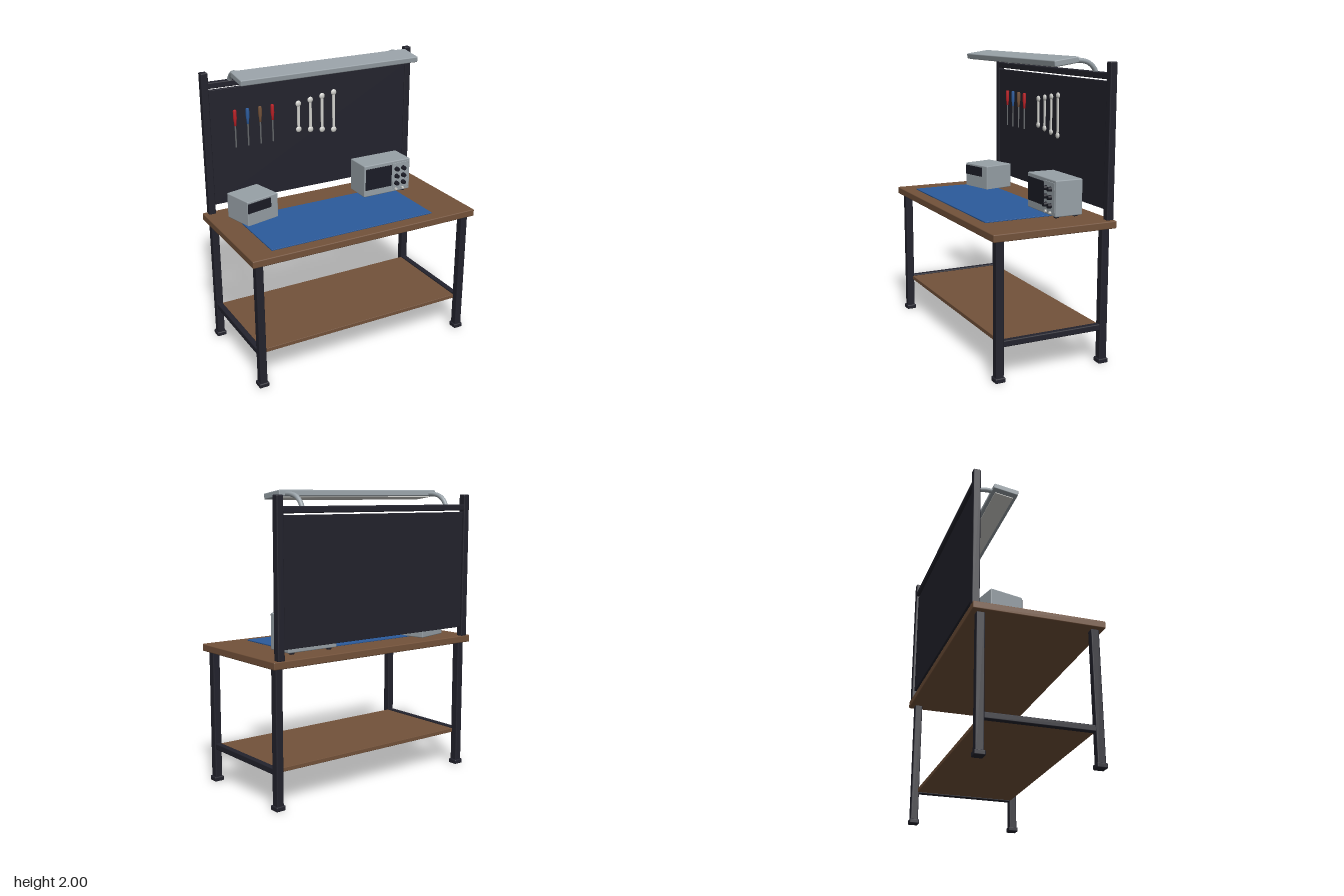
import * as THREE from 'three';
import { RoundedBoxGeometry } from 'three/addons/geometries/RoundedBoxGeometry.js';

const mat = (name, color) => {
  const m = new THREE.MeshStandardMaterial({ color });
  m.name = name;
  return m;
};

export function createModel() {
  const root = new THREE.Group();
  root.name = 'workbench';

  const frame = mat('dark frame', 0x23232d);
  const wood = mat('brown wood', 0x73523a);
  const blue = mat('blue', 0x2b5b9c);
  const grey = mat('grey casing', 0x98a1a7);
  const steel = mat('pale steel', 0xd2d2ce);
  const red = mat('red', 0xb81f25);
  const metal = mat('dark steel', 0x66696c);
  const screen = mat('dark screen', 0x1b1c26);

  const add = (name, geo, m, x, y, z, parent = root) => {
    const mesh = new THREE.Mesh(geo, m);
    mesh.name = name;
    mesh.position.set(x, y, z);
    parent.add(mesh);
    return mesh;
  };
  // Softly bevelled box, placed by its centre
  const box = (name, m, w, h, d, x, y, z, parent = root, r = 0.007) =>
    add(name, new RoundedBoxGeometry(w, h, d, 2, Math.min(r, w / 3, h / 3, d / 3)), m, x, y, z, parent);
  const group = (name, x = 0, y = 0, z = 0) => {
    const g = new THREE.Group();
    g.name = name;
    g.position.set(x, y, z);
    root.add(g);
    return g;
  };

  // Table
  box('tabletop', wood, 1.71, 0.05, 0.874, 0, 0.94, 0);
  box('lowerShelf', wood, 1.55, 0.028, 0.72, 0, 0.249, 0, root, 0.003);
  box('workMat', blue, 1.235, 0.009, 0.57, -0.068, 0.969, 0.065, root, 0.002);

  // Legs, feet, side rails and rear posts
  for (const s of [-1, 1]) {
    for (const z of [-0.377, 0.377]) {
      box('leg', frame, 0.052, 0.905, 0.055, s * 0.797, 0.463, z);
      box('foot', frame, 0.07, 0.032, 0.07, s * 0.797, 0.016, z);
    }
    box('sideRail', frame, 0.04, 0.043, 0.72, s * 0.797, 0.249, 0);
    box('rearPost', frame, 0.05, 1.01, 0.05, s * 0.797, 1.466, -0.409);
  }

  // Tool board and its top rail
  box('toolBoard', frame, 1.56, 0.82, 0.025, 0, 1.439, -0.404, root, 0.003);
  box('topRail', frame, 1.56, 0.042, 0.045, 0, 1.881, -0.409);

  // Screwdrivers hanging on the board
  const handleProfile = [[0, -0.056], [0.008, -0.056], [0.009, -0.03], [0.013, -0.005], [0.013, 0.048], [0.009, 0.056], [0, 0.056]]
    .map(([r, y]) => new THREE.Vector2(r, y));
  const handleGeo = new THREE.LatheGeometry(handleProfile, 14);
  const shaftGeo = new THREE.CylinderGeometry(0.0055, 0.0055, 0.16, 10);
  [red, blue, wood, red].forEach((m, i) => {
    const g = group('screwdriver', -0.6 + i * 0.0935, 0, -0.376);
    add('handle', handleGeo, m, 0, 1.639, 0, g);
    add('shaft', shaftGeo, metal, 0, 1.508, 0, g);
  });

  // Wrenches, each a little longer than the last
  const headGeo = new THREE.SphereGeometry(0.022, 14, 10);
  for (let i = 0; i < 4; i++) {
    const g = group('wrench', -0.115 + i * 0.0945, 1.575, -0.383);
    const half = 0.094 + i * 0.015;
    box('wrenchBar', steel, 0.02, half * 2, 0.012, 0, 0, 0, g, 0.004);
    for (const s of [-1, 1]) add('wrenchHead', headGeo, steel, 0, s * half, 0, g).scale.z = 0.5;
  }

  // Lamp: tilted head on two curved arms
  const lamp = group('lampHead', 0, 1.966, -0.158);
  lamp.rotation.x = 0.14;
  box('lampCasing', grey, 1.345, 0.04, 0.176, 0, 0.004, 0, lamp);
  box('lampDiffuser', steel, 1.26, 0.008, 0.13, 0, -0.018, 0, lamp, 0.002);
  const armPath = new THREE.CatmullRomCurve3(
    [[1.885, -0.41], [1.925, -0.388], [1.957, -0.35], [1.972, -0.3], [1.975, -0.23]]
      .map(([y, z]) => new THREE.Vector3(0, y, z)));
  const armGeo = new THREE.TubeGeometry(armPath, 20, 0.016, 12);
  for (const s of [-1, 1]) add('lampArm', armGeo, grey, s * 0.616, 0, 0);

  // Oscilloscope: screen on the left, knobs and buttons on the right
  const scope = group('oscilloscope', 0.46, 0, -0.2);
  box('scopeCasing', grey, 0.388, 0.24, 0.2, 0, 1.098, 0, scope);
  box('scopeScreen', screen, 0.22, 0.162, 0.008, -0.073, 1.11, 0.1, scope, 0.002);
  box('controlPanel', grey, 0.135, 0.2, 0.006, 0.112, 1.1, 0.1, scope, 0.002);
  const knobGeo = new THREE.CylinderGeometry(0.015, 0.017, 0.026, 16).rotateX(Math.PI / 2);
  const buttonGeo = new THREE.CylinderGeometry(0.009, 0.009, 0.016, 12).rotateX(Math.PI / 2);
  for (const x of [0.076, 0.134]) {
    for (const y of [1.045, 1.1, 1.155]) add('knob', knobGeo, screen, x, y, 0.115, scope);
    add('button', buttonGeo, steel, x - 0.002, 0.999, 0.108, scope);
  }
  for (const x of [-0.15, 0.15])
    for (const z of [-0.07, 0.07]) box('scopeFoot', frame, 0.03, 0.016, 0.03, x, 0.972, z, scope);

  // Power supply, turned slightly towards the middle
  const supply = group('powerSupply', -0.571, 0, -0.198);
  supply.rotation.y = 0.24;
  box('supplyCasing', grey, 0.26, 0.18, 0.235, 0, 1.058, 0, supply);
  box('supplyDisplay', screen, 0.196, 0.07, 0.008, -0.03, 1.097, 0.117, supply, 0.002);

  return root;
}
